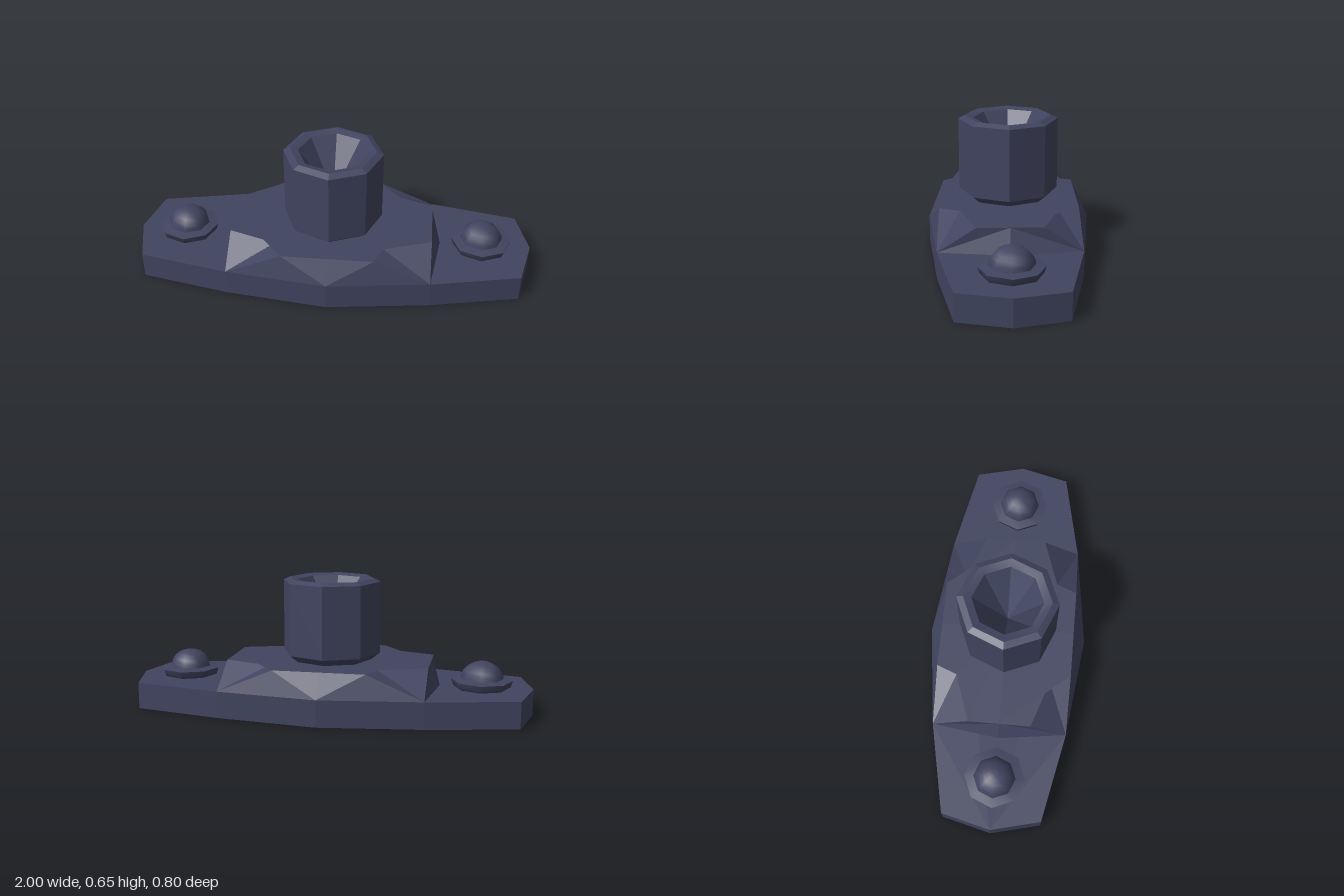
import * as THREE from 'three';
import { toCreasedNormals } from 'three/addons/utils/BufferGeometryUtils.js';

const slate = new THREE.MeshStandardMaterial({ color: 0x40445f });
slate.name = 'slate blue metal';

function addMesh(parent, name, geometry) {
  const mesh = new THREE.Mesh(geometry, slate);
  mesh.name = name;
  parent.add(mesh);
  return mesh;
}

// Eight-sided turned part; edges sharper than the crease angle stay hard
function turned(profile, crease) {
  const points = profile.map(([r, y]) => new THREE.Vector2(r, y));
  return toCreasedNormals(new THREE.LatheGeometry(points, 8), crease);
}

// Flat-faced solid from convex polygons listed counter-clockwise from outside
function faceted(faces) {
  const pos = [];
  for (const f of faces) {
    for (let i = 1; i < f.length - 1; i++) pos.push(...f[0], ...f[i], ...f[i + 1]);
  }
  const g = new THREE.BufferGeometry();
  g.setAttribute('position', new THREE.Float32BufferAttribute(pos, 3));
  g.computeVertexNormals();
  return g;
}

// Base plate with a tapered outline
function basePlate() {
  const outline = [
    [1, 0], [0.94, 0.245], [0.5, 0.337], [0, 0.4], [-0.5, 0.337], [-0.94, 0.245],
    [-1, 0], [-0.94, -0.245], [-0.5, -0.337], [0, -0.4], [0.5, -0.337], [0.94, -0.245],
  ];
  const shape = new THREE.Shape(outline.map(([x, z]) => new THREE.Vector2(x, z)));
  const g = new THREE.ExtrudeGeometry(shape, { depth: 0.132, bevelEnabled: false });
  return g.rotateX(-Math.PI / 2);
}

// Raised platform: one quarter is described, then mirrored in x and z
function platform() {
  const low = 0.132, high = 0.25;
  const end = [0.545, low, 0], corner = [0.5, low, 0.337], side = [0, low, 0.4];
  const topEnd = [0.5, high, 0], topCut = [0.5, high, 0.155];
  const notch = [0.265, high, 0.235], topSide = [0.225, high, 0.337];
  const midSide = [0, high, 0.337], middle = [0, high, 0];
  const quarter = [
    [middle, midSide, topSide, notch, topCut, topEnd],
    [corner, topCut, notch],
    [corner, notch, topSide],
    [side, corner, topSide],
    [side, topSide, midSide],
    [corner, end, topEnd],
    [corner, topEnd, topCut],
  ];
  const faces = [];
  for (const sx of [1, -1]) {
    for (const sz of [1, -1]) {
      for (const f of quarter) {
        const m = f.map(([x, y, z]) => [x * sx, y, z * sz]);
        faces.push(sx * sz > 0 ? m : m.reverse());
      }
    }
  }
  return faceted(faces);
}

export function createModel() {
  const model = new THREE.Group();
  model.name = 'mountingFlange';

  addMesh(model, 'basePlate', basePlate());
  addMesh(model, 'raisedPlatform', platform());

  // Octagonal socket with a bevelled rim and a conical recess
  addMesh(model, 'socket', turned([
    [0.2, 0.248], [0.245, 0.285], [0.245, 0.64], [0.212, 0.655], [0.172, 0.645], [0, 0.4],
  ], 0.3));

  // Bolt at each end: washer and domed head
  const dome = [];
  for (let i = 0; i <= 6; i++) {
    const a = (i / 6) * Math.PI / 2;
    dome.push([0.105 * Math.cos(a), 0.172 + 0.09 * Math.sin(a)]);
  }
  dome[6][0] = 0;
  for (const s of [1, -1]) {
    const bolt = new THREE.Group();
    bolt.name = s > 0 ? 'leftBolt' : 'rightBolt';
    bolt.position.x = 0.75 * s;
    addMesh(bolt, 'washer', turned([
      [0.125, 0.13], [0.14, 0.137], [0.15, 0.17], [0.1, 0.178],
    ], 0.9));
    addMesh(bolt, 'boltHead', turned(dome, 1.0));
    model.add(bolt);
  }
  return model;
}
